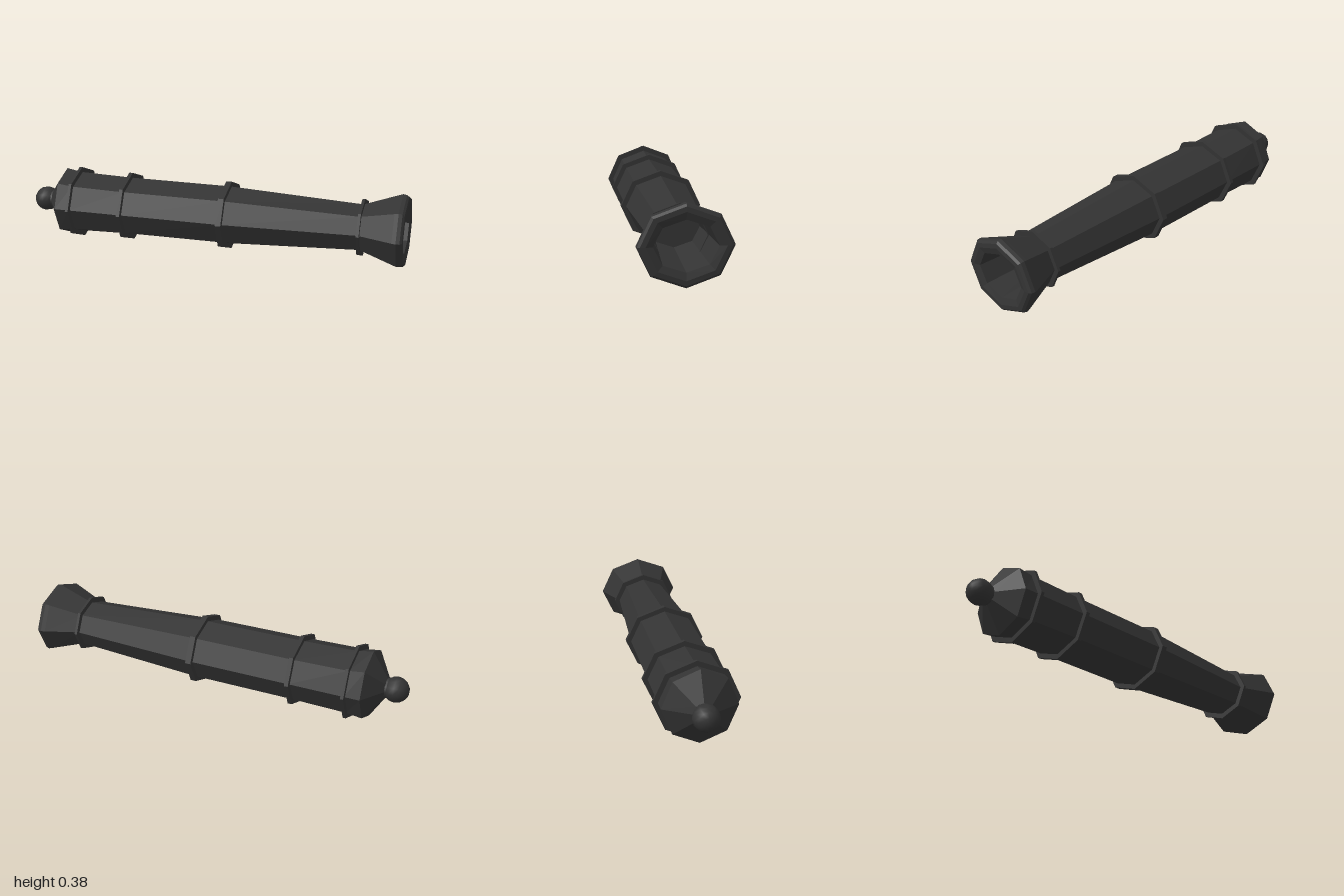
import * as THREE from 'three';

const SIDES = 8;
const AXIS_Y = 0.19;
const iron = new THREE.MeshStandardMaterial({ color: 0x333333, flatShading: true });
const smoothIron = new THREE.MeshStandardMaterial({ color: 0x333333 });

// Skins octagonal sections along x; each section is [x, radiusY, radiusZ]
function loft(name, sections) {
  const pos = [];
  const point = ([x, ry, rz], j) => {
    const a = (j / SIDES) * Math.PI * 2;
    return [x, Math.cos(a) * ry, Math.sin(a) * rz];
  };
  for (let i = 0; i < sections.length - 1; i++) {
    const s = sections[i], t = sections[i + 1];
    for (let j = 0; j < SIDES; j++) {
      const a = point(s, j), b = point(t, j), c = point(s, j + 1), d = point(t, j + 1);
      if (s[1] > 0) pos.push(...a, ...c, ...b);
      if (t[1] > 0) pos.push(...c, ...d, ...b);
    }
  }
  const geometry = new THREE.BufferGeometry();
  geometry.setAttribute('position', new THREE.Float32BufferAttribute(pos, 3));
  geometry.computeVertexNormals();
  const mesh = new THREE.Mesh(geometry, iron);
  mesh.name = name;
  return mesh;
}

// Raised band around the barrel, its inner edges sunk into the wall
function band(name, x, width, ry, rz) {
  const h = width / 2;
  return loft(name, [
    [x - h, ry * 0.75, rz * 0.75], [x - h, ry, rz],
    [x + h, ry, rz], [x + h, ry * 0.75, rz * 0.75],
  ]);
}

export function createModel() {
  const cannon = new THREE.Group();
  cannon.name = 'cannonBarrel';
  cannon.position.y = AXIS_Y;

  // Breech cone, tapering tube, flared muzzle and bore in one skin
  cannon.add(loft('barrel', [
    [-0.89, 0, 0],
    [-0.89, 0.05, 0.05],
    [-0.81, 0.178, 0.178],
    [-0.73, 0.163, 0.178],
    [-0.445, 0.155, 0.178],
    [0.09, 0.153, 0.177],
    [0.78, 0.119, 0.14],
    [0.95, 0.181, 0.208],
    [0.97, 0.188, 0.215],
    [0.988, 0.184, 0.211],
    [0.998, 0.173, 0.199],
    [1.0, 0.15, 0.175],
    [0.99, 0.115, 0.143],
    [0.6, 0.098, 0.12],
    [0.6, 0, 0],
  ]));

  // Reinforcing bands
  cannon.add(
    band('breechBand', -0.73, 0.016, 0.19, 0.205),
    band('rearBand', -0.445, 0.02, 0.181, 0.204),
    band('middleBand', 0.09, 0.03, 0.178, 0.202),
    band('muzzleBand', 0.78, 0.014, 0.147, 0.167),
  );

  // Rear knob on a short neck
  const knob = new THREE.Mesh(new THREE.SphereGeometry(0.064, 12, 8), smoothIron);
  knob.name = 'rearKnob';
  knob.rotation.z = Math.PI / 2;
  knob.position.x = -0.936;
  const neck = new THREE.Mesh(new THREE.CylinderGeometry(0.05, 0.05, 0.05, 12), smoothIron);
  neck.name = 'knobNeck';
  neck.rotation.z = Math.PI / 2;
  neck.position.x = -0.89;
  cannon.add(knob, neck);

  const model = new THREE.Group();
  model.add(cannon);
  return model;
}
